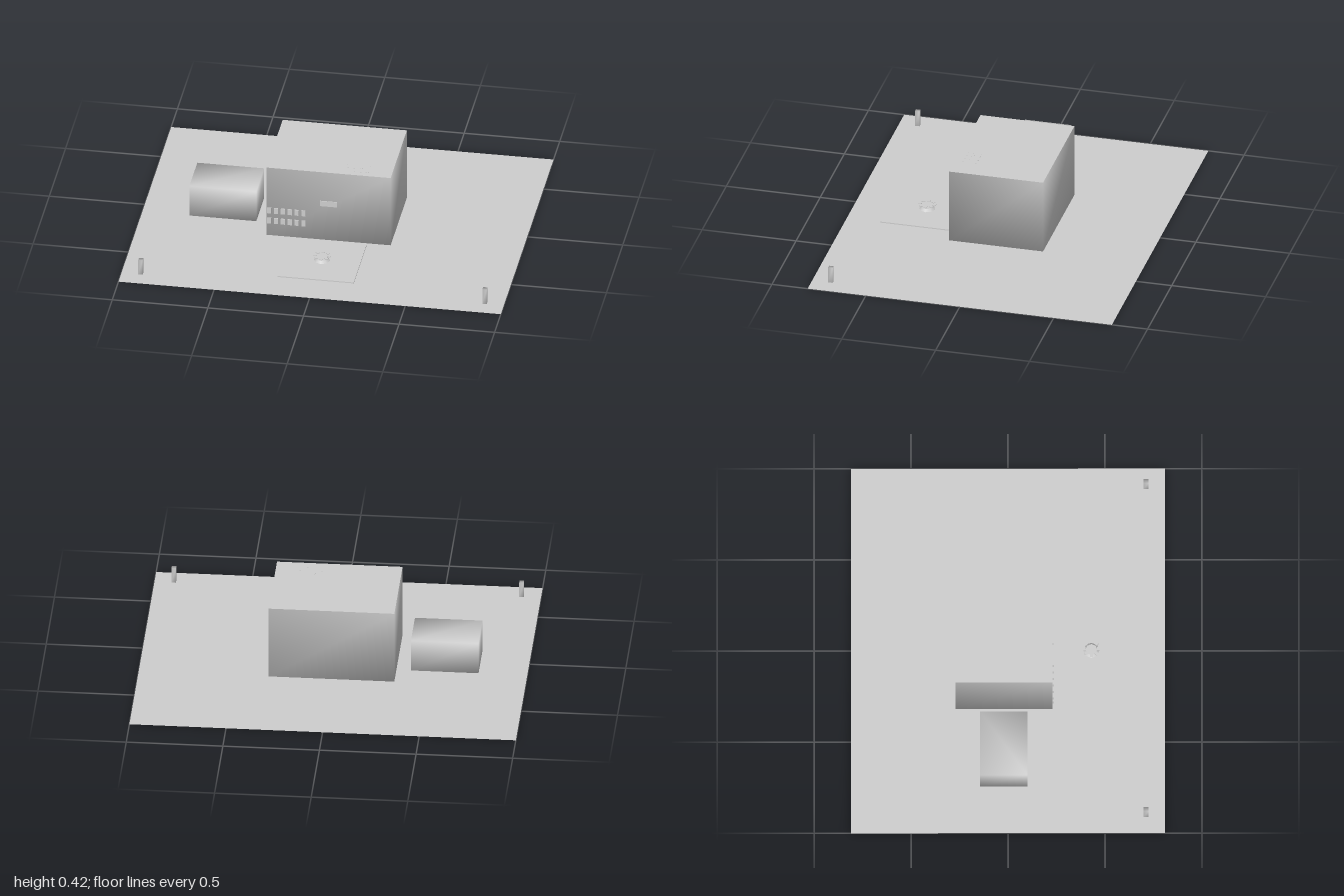
import * as THREE from 'three';
import { mergeVertices } from 'three/addons/utils/BufferGeometryUtils.js';

const stone = new THREE.MeshStandardMaterial({ color: 0xcccccc, side: THREE.DoubleSide });
stone.name = 'light grey stone';

// Weld shared corners so the shading runs smoothly around the block
function soften(geometry) {
  geometry.deleteAttribute('normal');
  geometry.deleteAttribute('uv');
  const welded = mergeVertices(geometry);
  welded.computeVertexNormals();
  return welded;
}

function add(parent, name, geometry, x, y, z) {
  const mesh = new THREE.Mesh(geometry, stone);
  mesh.name = name;
  mesh.position.set(x, y, z);
  parent.add(mesh);
  return mesh;
}

const flatPlane = (w, d) => new THREE.PlaneGeometry(w, d).rotateX(-Math.PI / 2);

// Box without its top face, so that a flat roof can be laid on it
function openBox(w, h, d) {
  const box = new THREE.BoxGeometry(w, h, d);
  const index = Array.from(box.index.array);
  index.splice(12, 6);
  box.setIndex(index);
  box.clearGroups();
  return soften(box);
}

export function createModel() {
  const model = new THREE.Group();
  model.name = 'buildingSite';

  add(model, 'ground', flatPlane(2, 1.62), 0, 0, 0);

  // Main building with a flat roof, standing just above its base slab
  const building = new THREE.Group();
  building.name = 'mainBuilding';
  model.add(building);
  add(building, 'baseSlab', flatPlane(0.4, 0.5), 0, 0.003, -0.02);
  add(building, 'walls', openBox(0.65, 0.4, 0.5), 0, 0.215, -0.02);
  add(building, 'roof', flatPlane(0.65, 0.5), 0, 0.415, -0.02);
  add(building, 'sign', new THREE.BoxGeometry(0.09, 0.03, 0.006), 0, 0.23, 0.231);

  // Rows of windows on the front
  for (const y of [0.04, 0.103, 0.163]) {
    if (y === 0.04) continue;
    for (let i = 0; i < 6; i++) {
      add(building, 'window', new THREE.BoxGeometry(0.022, 0.032, 0.008), -0.31 + i * 0.036, y, 0.232);
    }
  }

  // Small roof panels
  for (let row = 0; row < 3; row++) {
    for (let i = 0; i < 4; i++) {
      add(building, 'roofPanel', new THREE.BoxGeometry(0.014, 0.001, 0.014), 0.09 + i * 0.035, 0.4153, 0.12 + row * 0.035);
    }
  }

  // Side annex
  add(model, 'annex', soften(new THREE.BoxGeometry(0.35, 0.175, 0.245)), -0.575, 0.1025, -0.022);

  // Forecourt
  add(model, 'forecourt', new THREE.BoxGeometry(0.4, 0.006, 0.4), 0, 0.006, 0.43);

  // Fountain: low basin with a ring of floating slabs
  const fountain = new THREE.Group();
  fountain.name = 'fountain';
  fountain.position.set(0, 0, 0.43);
  model.add(fountain);
  add(fountain, 'basin', new THREE.CylinderGeometry(0.03, 0.042, 0.013, 8), 0, 0.0155, 0);
  for (let i = 0; i < 8; i++) {
    const a = (i / 8) * Math.PI * 2;
    const slab = add(fountain, 'ringSlab', new THREE.BoxGeometry(0.016, 0.003, 0.016),
      Math.cos(a) * 0.038, 0.036, Math.sin(a) * 0.038);
    slab.rotation.y = -a;
  }

  // Gate posts at the front corners
  for (const side of [-1, 1]) {
    add(model, 'gatePost', soften(new THREE.BoxGeometry(0.023, 0.085, 0.025)), side * 0.9, 0.0455, 0.712);
  }

  return model;
}
